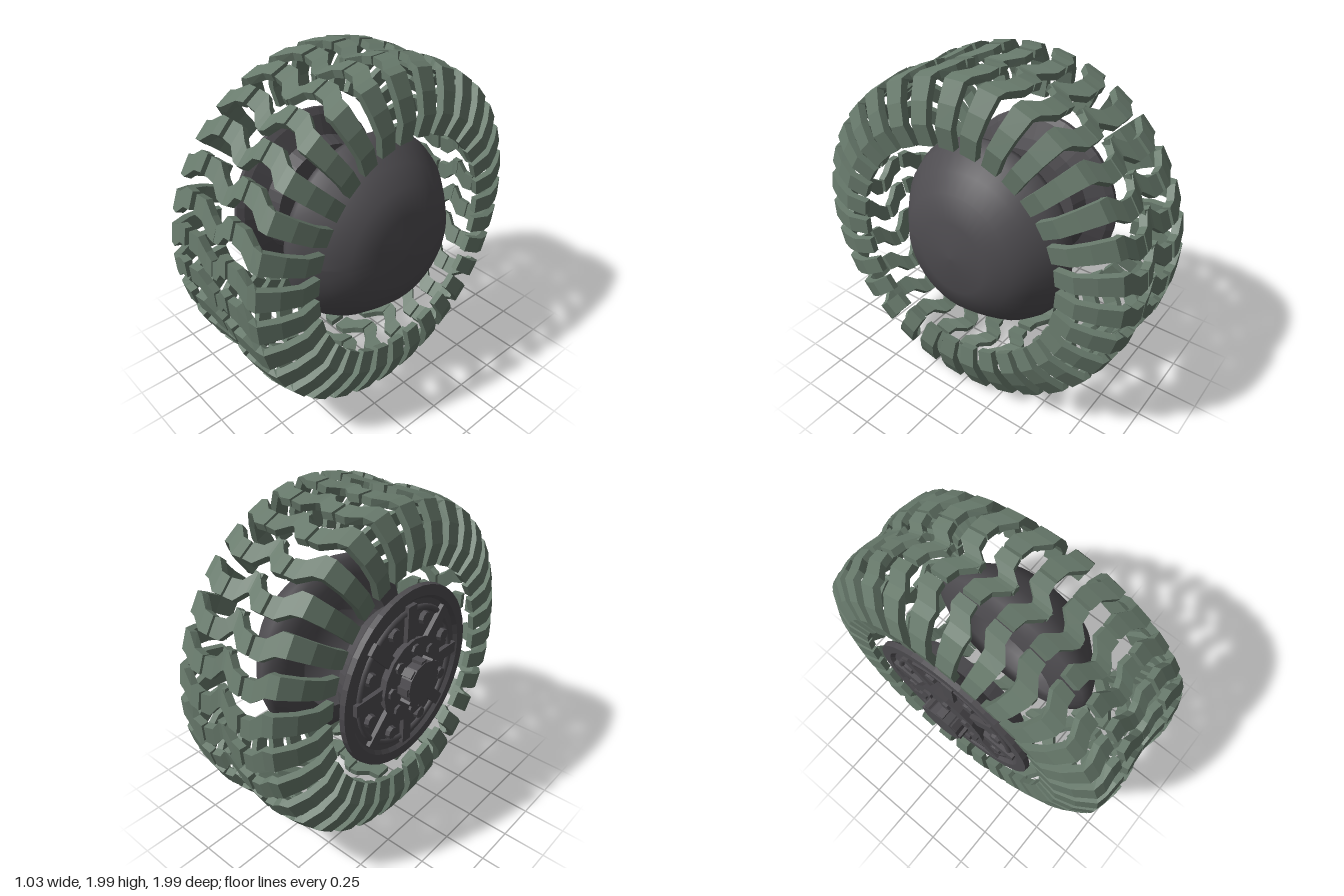
import * as THREE from 'three';
import { mergeGeometries } from 'three/addons/utils/BufferGeometryUtils.js';

const COUNT = 31;
const CENTER_Y = 0.995;

// One tread block swept along stations [x, radius, sideways offset, half width].
// side mirrors the block in x.
function lugGeometry(stations, thickness, side) {
  const loops = stations.map(([x, r, t, w], i) => {
    const a = stations[Math.max(i - 1, 0)];
    const b = stations[Math.min(i + 1, stations.length - 1)];
    const len = Math.hypot(b[0] - a[0], b[1] - a[1]);
    const nx = -(b[1] - a[1]) / len, nr = (b[0] - a[0]) / len;
    const corner = (depth, off) => [side * (x - nx * depth), r - nr * depth, -(t + off)];
    return [corner(0, w), corner(0, -w), corner(thickness, -w), corner(thickness, w)];
  });
  const pos = [];
  const quad = (a, b, c, d) => {
    const tris = side > 0 ? [a, b, c, a, c, d] : [a, c, b, a, d, c];
    tris.forEach((p) => pos.push(...p));
  };
  for (let i = 0; i < loops.length - 1; i++) {
    for (let j = 0; j < 4; j++) {
      const k = (j + 1) % 4;
      quad(loops[i][j], loops[i][k], loops[i + 1][k], loops[i + 1][j]);
    }
  }
  const [p, q] = [loops[0], loops[loops.length - 1]];
  quad(p[3], p[2], p[1], p[0]);
  quad(q[0], q[1], q[2], q[3]);
  const g = new THREE.BufferGeometry();
  g.setAttribute('position', new THREE.Float32BufferAttribute(pos, 3));
  return g;
}

// Slight lean of a part relative to the wheel axis
function lean(g, byZ, byY) {
  const p = g.attributes.position;
  for (let i = 0; i < p.count; i++) p.setX(i, p.getX(i) + byZ * p.getZ(i) + byY * p.getY(i));
  g.computeVertexNormals();
  return g;
}

function ring(base) {
  const parts = [];
  for (let i = 0; i < COUNT; i++) parts.push(base.clone().rotateX((i / COUNT) * Math.PI * 2));
  return mergeGeometries(parts);
}

export function createModel() {
  const wheel = new THREE.Group();
  wheel.name = 'wheel';
  const rubber = new THREE.MeshStandardMaterial({ color: 0x687a6c, flatShading: true });
  const metal = new THREE.MeshStandardMaterial({ color: 0x4e4c50, side: THREE.DoubleSide });
  const metalFlat = new THREE.MeshStandardMaterial({
    color: 0x4e4c50, side: THREE.DoubleSide, flatShading: true });

  const add = (name, geometry, material, parent = wheel) => {
    const mesh = new THREE.Mesh(geometry, material);
    mesh.name = name;
    parent.add(mesh);
    return mesh;
  };

  // Four rows of tread blocks: [name, side, lean by z, lean by y, stations].
  // Two centre rows, and two shoulder rows with narrow sidewall arms.
  const rows = [
    ['leftCentreTread', 1, 0.045, -0.02, [
      [0.025, 0.965, -0.035, 0.045], [0.07, 0.97, -0.015, 0.055],
      [0.115, 0.98, 0.045, 0.055], [0.175, 0.99, 0.05, 0.05]]],
    ['leftShoulderTread', 1, 0.05, -0.025, [
      [0.195, 0.992, 0.05, 0.05], [0.265, 0.988, 0.045, 0.055], [0.335, 0.978, -0.012, 0.06],
      [0.385, 0.965, -0.018, 0.056], [0.44, 0.86, -0.02, 0.051],
      [0.475, 0.75, -0.02, 0.048], [0.455, 0.63, -0.02, 0.046]]],
    ['rightCentreTread', -1, 0.012, 0.008, [
      [-0.045, 0.965, -0.035, 0.045], [0.0, 0.97, -0.015, 0.055],
      [0.06, 0.98, 0.045, 0.055], [0.13, 0.988, 0.05, 0.05]]],
    ['rightShoulderTread', -1, 0.005, 0.02, [
      [0.165, 0.99, 0.05, 0.05], [0.225, 0.986, 0.045, 0.055], [0.295, 0.975, -0.012, 0.06],
      [0.35, 0.96, -0.018, 0.056], [0.41, 0.86, -0.02, 0.051],
      [0.44, 0.75, -0.02, 0.048], [0.42, 0.63, -0.02, 0.046]]],
  ];
  for (const [name, side, byZ, byY, stations] of rows) {
    add(name, lean(ring(lugGeometry(stations, 0.042, side)), byZ, byY), rubber);
  }

  // Bulging bowl on the left side, with a rounded back edge
  const lathe = (points, seg = 40) => new THREE.LatheGeometry(
    points.map(([x, r]) => new THREE.Vector2(r, x)), seg).rotateZ(-Math.PI / 2);
  add('hubBowl', lean(lathe([[0.035, 0.36], [0.06, 0.47], [0.1, 0.55], [0.15, 0.57], [0.23, 0.535],
    [0.33, 0.45], [0.42, 0.36], [0.465, 0.22], [0.48, 0]]), -0.02, -0.025)
    .translate(0, -0.01, 0), metal);

  // Flanged rim on the right side
  const rim = new THREE.Group();
  rim.name = 'rim';
  wheel.add(rim);
  add('rimDrum', lathe([[-0.21, 0], [-0.21, 0.36], [-0.3, 0.39], [-0.35, 0.5],
    [-0.38, 0.535], [-0.41, 0.53], [-0.41, 0.47], [-0.39, 0.45], [-0.385, 0]]), metalFlat, rim);
  add('rimBead', new THREE.TorusGeometry(0.4, 0.018, 6, 40).rotateY(Math.PI / 2).translate(-0.39, 0, 0),
    metal, rim);

  const disc = (r1, r2, x0, x1, seg) => new THREE.CylinderGeometry(r1, r2, x1 - x0, seg)
    .rotateZ(Math.PI / 2).translate((x0 + x1) / 2, 0, 0);
  add('hubPlate', disc(0.25, 0.22, -0.44, -0.37, 16), metalFlat, rim);
  add('hubCap', disc(0.13, 0.125, -0.51, -0.42, 12), metalFlat, rim);

  // Spokes, bolts and cap teeth around the axle
  for (let i = 0; i < 8; i++) {
    const arm = new THREE.Group();
    arm.name = 'spokeUnit';
    arm.rotation.x = (i / 8) * Math.PI * 2;
    rim.add(arm);
    add('spoke', new THREE.BoxGeometry(0.05, 0.22, 0.07).translate(-0.39, 0.33, 0), metalFlat, arm);
    add('bolt', disc(0.032, 0.032, -0.455, -0.41, 6).translate(0, 0.19, 0), metalFlat, arm);
    add('rimBolt', disc(0.035, 0.045, -0.415, -0.37, 8)
      .translate(0, 0.34 * Math.cos(Math.PI / 8), 0.34 * Math.sin(Math.PI / 8)), metalFlat, arm);
    add('capTooth', new THREE.BoxGeometry(0.09, 0.045, 0.045).translate(-0.46, 0.118, 0), metalFlat, arm);
  }

  wheel.position.y = CENTER_Y;
  const model = new THREE.Group();
  model.name = 'wheelModel';
  model.add(wheel);
  return model;
}
